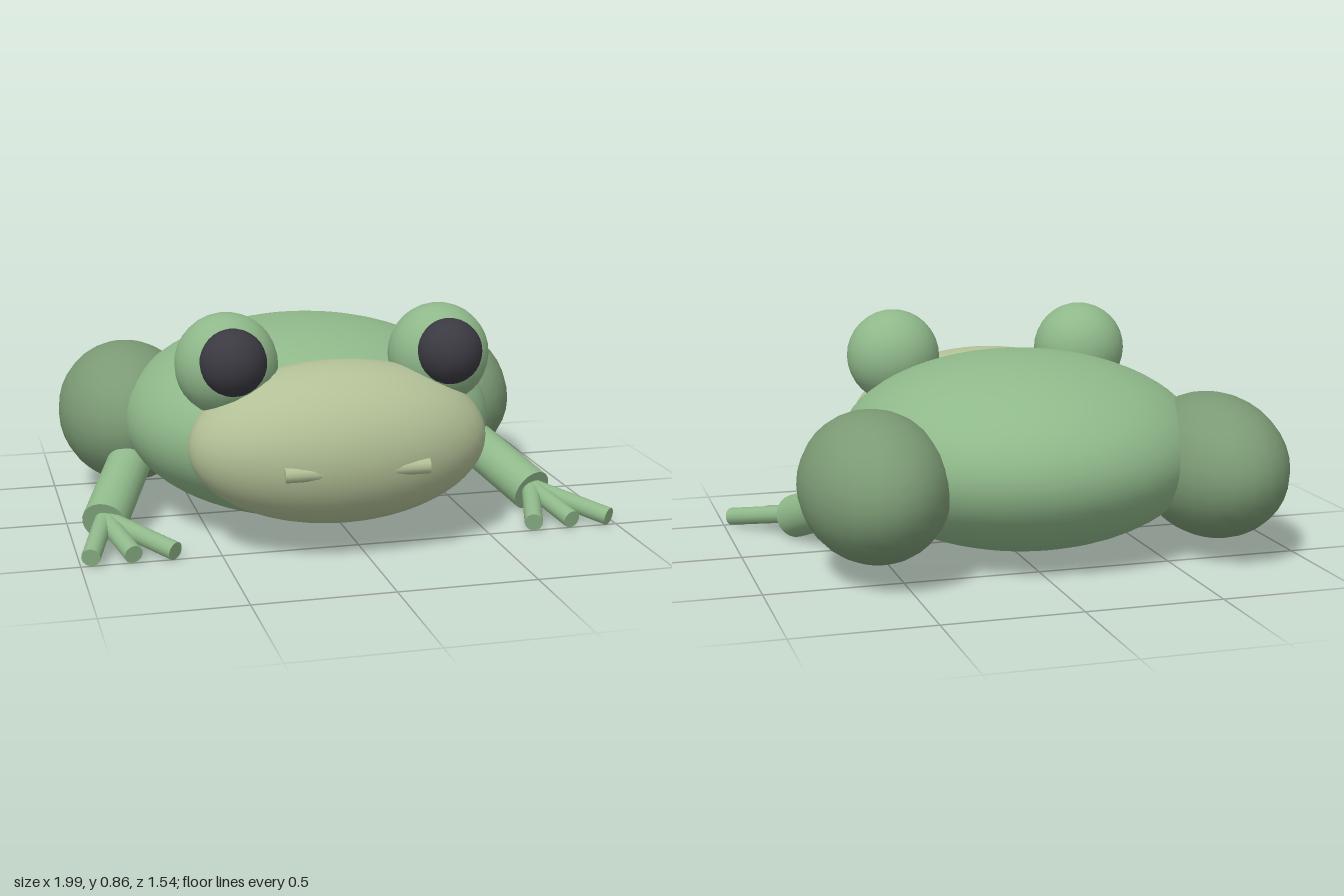
import * as THREE from 'three';

const mat = (color) => new THREE.MeshStandardMaterial({ color });

export function createModel() {
  const skin = mat(0x8fb88a);
  const thighSkin = mat(0x7b9a74);
  const faceSkin = mat(0xb2c096);
  const dark = mat(0x3b3941);

  const frog = new THREE.Group();
  frog.name = 'frog';
  const MID = -0.067; // the body's own centre line

  const ellipsoid = (name, material, [x, y, z], [rx, ry, rz], w = 32, h = 20) => {
    const mesh = new THREE.Mesh(new THREE.SphereGeometry(1, w, h), material);
    mesh.name = name;
    mesh.position.set(x, y, z);
    mesh.scale.set(rx, ry, rz);
    frog.add(mesh);
  };

  // straight cylinder between two points
  const rod = (name, material, from, to, radius, sides = 16) => {
    const a = new THREE.Vector3(...from);
    const b = new THREE.Vector3(...to);
    const dir = b.clone().sub(a);
    const mesh = new THREE.Mesh(new THREE.CylinderGeometry(radius, radius, dir.length(), sides), material);
    mesh.name = name;
    mesh.position.copy(a).add(b).multiplyScalar(0.5);
    mesh.quaternion.setFromUnitVectors(new THREE.Vector3(0, 1, 0), dir.normalize());
    frog.add(mesh);
  };

  ellipsoid('body', skin, [MID, 0.378, -0.05], [0.698, 0.368, 0.704], 48, 32);
  ellipsoid('head', faceSkin, [MID, 0.397, 0.47], [0.543, 0.292, 0.299], 48, 32);

  for (const [label, side] of [['left', 1], ['right', -1]]) {
    const at = (offset) => MID + side * offset;

    // eye and pupil
    ellipsoid(label + 'Eye', skin, [at(0.39), 0.682, 0.395], [0.183, 0.183, 0.183], 24, 16);
    ellipsoid(label + 'Pupil', dark, [at(0.39), 0.714, 0.523], [0.118, 0.118, 0.118], 24, 16);

    // nostril, sunk into the face at its inner end
    rod(label + 'Nostril', faceSkin, [at(0.09), 0.36, 0.73], [at(0.257), 0.36, 0.73], 0.028, 12);

    // thigh
    ellipsoid(label + 'Thigh', thighSkin, [at(0.646), 0.34, -0.385], [0.268, 0.27, 0.389], 24, 18);

    // foreleg
    rod(label + 'Foreleg', skin, [at(0.61), 0.28, -0.24], [at(0.82), 0.088, 0.26], 0.083, 20);

    // toes, fanned the same way on both feet
    const wrist = at(0.818);
    for (const dx of [-0.08, 0.07, 0.217]) {
      rod(label + 'Toe', skin, [wrist, 0.1, 0.25], [wrist + dx, 0.043, 0.505], 0.034, 14);
    }
  }
  return frog;
}
